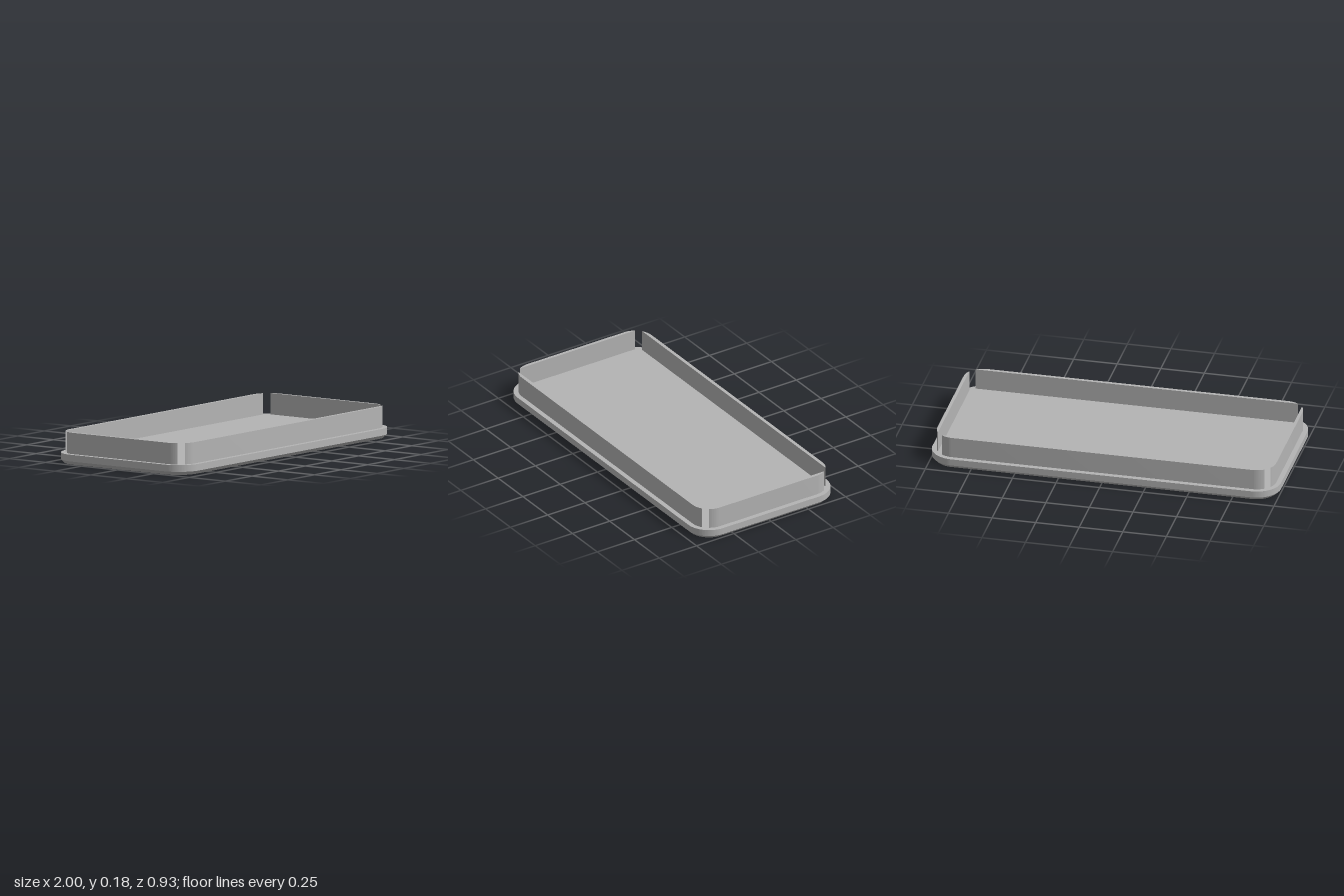
import * as THREE from 'three';
import { toCreasedNormals } from 'three/addons/utils/BufferGeometryUtils.js';

const HX = 1, HZ = 0.463, R = 0.14;              // base plate half sizes and corner radius
const BASE_H = 0.058, CHAMFER = 0.02, TOP = 0.178;
const WX = 0.972, WZ = 0.435, WR = 0.11;         // outer outline of the rim walls

// Extrude a plan shape upwards along y
function extrudeUp(shape, depth, steps = 1) {
  const g = new THREE.ExtrudeGeometry(shape, { depth, steps, bevelEnabled: false, curveSegments: 14 });
  return g.rotateX(-Math.PI / 2);
}

// Rounded plate with a chamfered bottom edge
function plateGeometry() {
  const cx = HX - R, cz = HZ - R, q = Math.PI / 2;
  const s = new THREE.Shape();
  s.absarc(cx, cz, R, 0, q);
  s.absarc(-cx, cz, R, q, 2 * q);
  s.absarc(-cx, -cz, R, 2 * q, 3 * q);
  s.absarc(cx, -cz, R, 3 * q, 4 * q);
  s.closePath();
  const g = extrudeUp(s, BASE_H, 2);
  const p = g.attributes.position;
  const k = (R - CHAMFER) / R;
  for (let i = 0; i < p.count; i++) {
    const x = p.getX(i), y = p.getY(i), z = p.getZ(i);
    if (y < 0.001) {
      // bottom ring moves inwards
      const ox = THREE.MathUtils.clamp(x, -cx, cx), oz = THREE.MathUtils.clamp(z, -cz, cz);
      p.setXYZ(i, ox + (x - ox) * k, 0, oz + (z - oz) * k);
    } else if (y < BASE_H - 0.001) {
      p.setY(i, CHAMFER);
    }
  }
  return toCreasedNormals(g, 0.5);
}

// Wall along x: flat inside, outside curving in to a thin edge at both ends
function wallGeometry(halfLength, outer, inner) {
  const cx = halfLength - WR, cy = outer - WR;
  const a = Math.asin((inner - cy) / WR);
  const s = new THREE.Shape();
  s.moveTo(-cx - WR * Math.cos(a), inner);
  s.absarc(cx, cy, WR, a, Math.PI / 2);
  s.absarc(-cx, cy, WR, Math.PI / 2, Math.PI - a);
  s.closePath();
  const g = extrudeUp(s, TOP - BASE_H);
  return toCreasedNormals(g.translate(0, BASE_H, 0), 0.5);
}

export function createModel() {
  const group = new THREE.Group();
  group.name = 'trayLid';
  const grey = new THREE.MeshStandardMaterial({ color: 0xb4b4b4 });
  grey.name = 'grey';

  const add = (name, geometry, turn = 0) => {
    const mesh = new THREE.Mesh(geometry, grey);
    mesh.name = name;
    mesh.rotation.y = turn;
    group.add(mesh);
  };

  add('basePlate', plateGeometry());

  // Four separate walls with open corners
  const longWall = wallGeometry(WX, WZ, 0.415);
  const shortWall = wallGeometry(WZ, WX, 0.954);
  add('backWall', longWall);
  add('frontWall', longWall, Math.PI);
  add('leftWall', shortWall, -Math.PI / 2);
  add('rightWall', shortWall, Math.PI / 2);
  return group;
}
